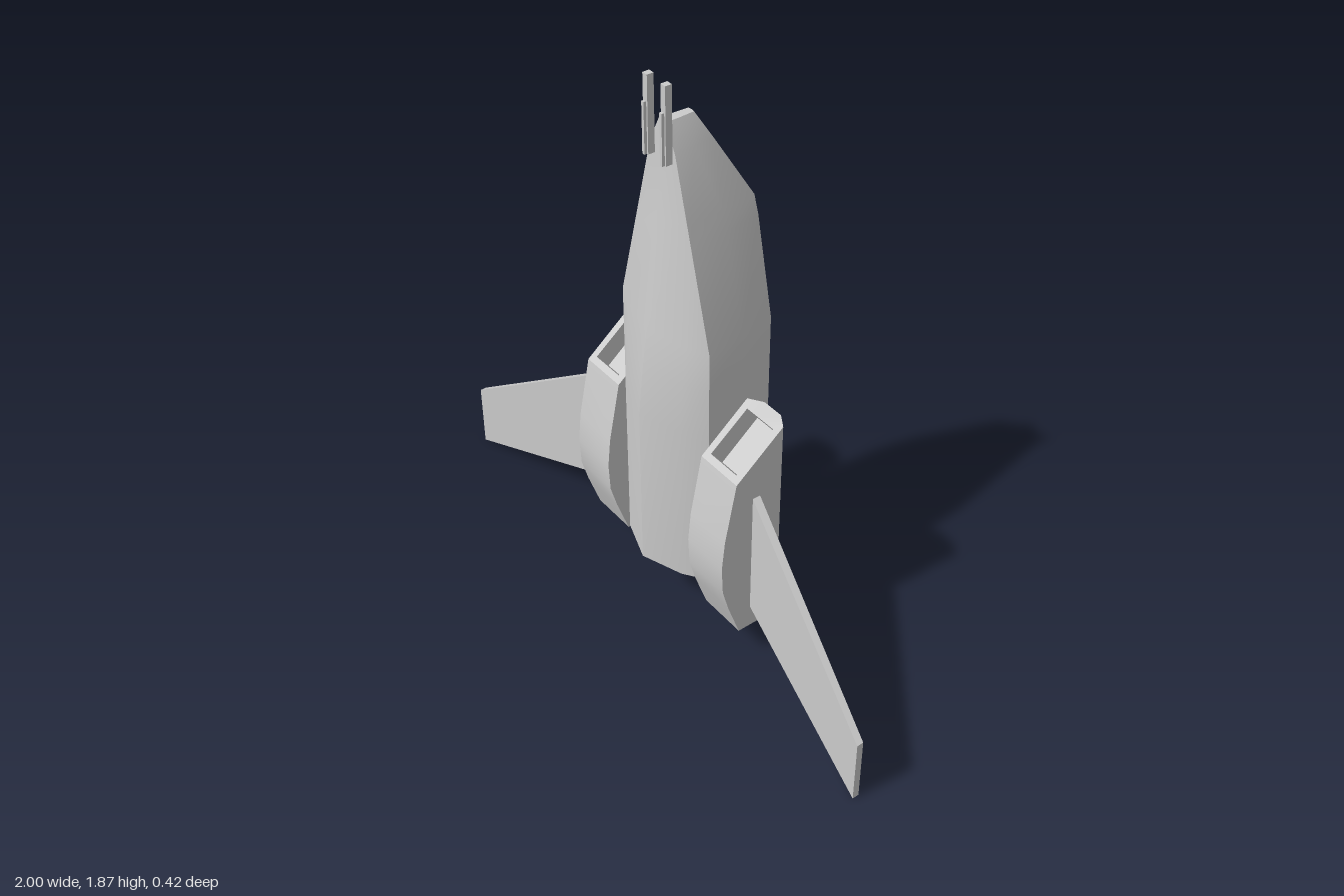
import * as THREE from 'three';
import { toCreasedNormals } from 'three/addons/utils/BufferGeometryUtils.js';

const material = new THREE.MeshStandardMaterial({ color: 0xcccccc });

// Skin a list of rings (each a loop of [x, y, z]) and close both ends.
function loft(name, rings, crease = 0.5) {
  const n = rings[0].length;
  const pos = rings.flat(2);
  const index = [];
  for (let r = 0; r < rings.length - 1; r++) {
    for (let i = 0; i < n; i++) {
      const j = (i + 1) % n;
      const a = r * n + i, b = r * n + j, c = a + n, d = b + n;
      index.push(a, b, d, a, d, c);
    }
  }
  const cap = (r, flip) => {
    const centre = pos.length / 3;
    for (let k = 0; k < 3; k++) pos.push(rings[r].reduce((s, p) => s + p[k], 0) / n);
    for (let i = 0; i < n; i++) {
      const a = r * n + i, b = r * n + (i + 1) % n;
      index.push(centre, flip ? b : a, flip ? a : b);
    }
  };
  cap(0, true);
  cap(rings.length - 1, false);
  const geo = new THREE.BufferGeometry();
  geo.setAttribute('position', new THREE.Float32BufferAttribute(pos, 3));
  geo.setIndex(index);
  const mesh = new THREE.Mesh(toCreasedNormals(geo, crease), material);
  mesh.name = name;
  return mesh;
}

// Fuselage cross-section: belly keel, chine, shoulder and spine.
function hullRing([y, w, keel, chine, shoulder, spine]) {
  const half = [
    [0.66 * w, y, chine + (keel - chine) * 0.5],
    [w, y, chine],
    [0.96 * w, y, chine + (shoulder - chine) * 0.5],
    [0.81 * w, y, shoulder],
  ];
  const mirrored = half.map(([x, h, z]) => [-x, h, z]).reverse();
  return [[0, y, keel], ...half, [0, y, spine], ...mirrored];
}

function makeFuselage() {
  return loft('fuselage', [
    [0.13, 0.065, 0.06, 0.03, -0.045, -0.06],
    [0.2, 0.21, 0.207, 0.108, -0.148, -0.21],
    [0.78, 0.21, 0.207, 0.108, -0.148, -0.21],
    [0.95, 0.21, 0.19, 0.108, -0.148, -0.207],
    [1.08, 0.21, 0.173, 0.108, -0.148, -0.197],
    [1.4, 0.125, 0.138, 0.108, -0.147, -0.17],
    [1.46, 0.109, 0.131, 0.108, -0.142, -0.15],
    [1.66, 0.056, 0.111, 0.108, -0.03, -0.036],
    [1.74, 0.016, 0.11, 0.108, 0.012, 0.01],
  ].map(hullRing));
}

// Engine pod with chamfered back, sloped intake and open exhaust.
function makeEngine() {
  const xi = 0.21, xo = 0.375, c = 0.045;
  const outer = (yBack, yFront, front) => [
    [xi, yFront, front], [xo, yFront, front], [xo, yBack, -0.033],
    [xo - c, yBack, -0.062], [xi + c, yBack, -0.062], [xi, yBack, -0.033],
  ];
  const opening = (yBack, yFront, back, front) => [
    [xi + 0.023, yFront, front], [xo - 0.023, yFront, front], [xo - 0.023, yBack, back],
    [xo - 0.06, yBack, back], [xi + 0.06, yBack, back], [xi + 0.023, yBack, back],
  ];
  return loft('enginePod', [
    opening(0.19, 0.19, -0.02, 0.095),
    opening(0.115, 0.115, -0.02, 0.095),
    outer(0.115, 0.115, 0.115),
    outer(0.24, 0.24, 0.158),
    outer(0.32, 0.32, 0.18),
    outer(0.42, 0.42, 0.185),
    outer(0.52, 0.52, 0.175),
    outer(0.72, 0.725, 0.135),
    outer(0.86, 0.725, 0.135),
    opening(0.845, 0.74, -0.015, 0.118),
    opening(0.79, 0.685, -0.06 + 0.005, 0.075),
  ]);
}

// Thin swept wing tapering to the tip.
function makeWing() {
  const section = (x, top, bottom, back, front) => [
    [x, top, back], [x, top, front], [x, bottom, front], [x, bottom, back],
  ];
  return loft('wing', [
    section(0.36, 0.65, 0.2, 0.043, 0.07),
    section(1, 0.23, 0, 0.17, 0.192),
  ], 0.1);
}

// Nose gun: slim barrel with a thicker sleeve at its base.
function makeGun() {
  const gun = new THREE.Group();
  gun.name = 'noseGun';
  const box = (name, w, y0, y1, z0, z1) => {
    const mesh = new THREE.Mesh(new THREE.BoxGeometry(w, y1 - y0, z1 - z0), material);
    mesh.position.set(0.04, (y0 + y1) / 2, (z0 + z1) / 2);
    mesh.name = name;
    gun.add(mesh);
  };
  box('gunBarrel', 0.02, 1.63, 1.87, 0.112, 0.134);
  box('gunSleeve', 0.01, 1.63, 1.79, 0.13, 0.143);
  return gun;
}

export function createModel() {
  const model = new THREE.Group();
  model.name = 'spacecraft';
  model.add(makeFuselage());
  for (const side of [1, -1]) {
    const half = new THREE.Group();
    half.name = side > 0 ? 'leftSide' : 'rightSide';
    half.add(makeEngine(), makeWing(), makeGun());
    half.scale.x = side;
    model.add(half);
  }
  return model;
}
